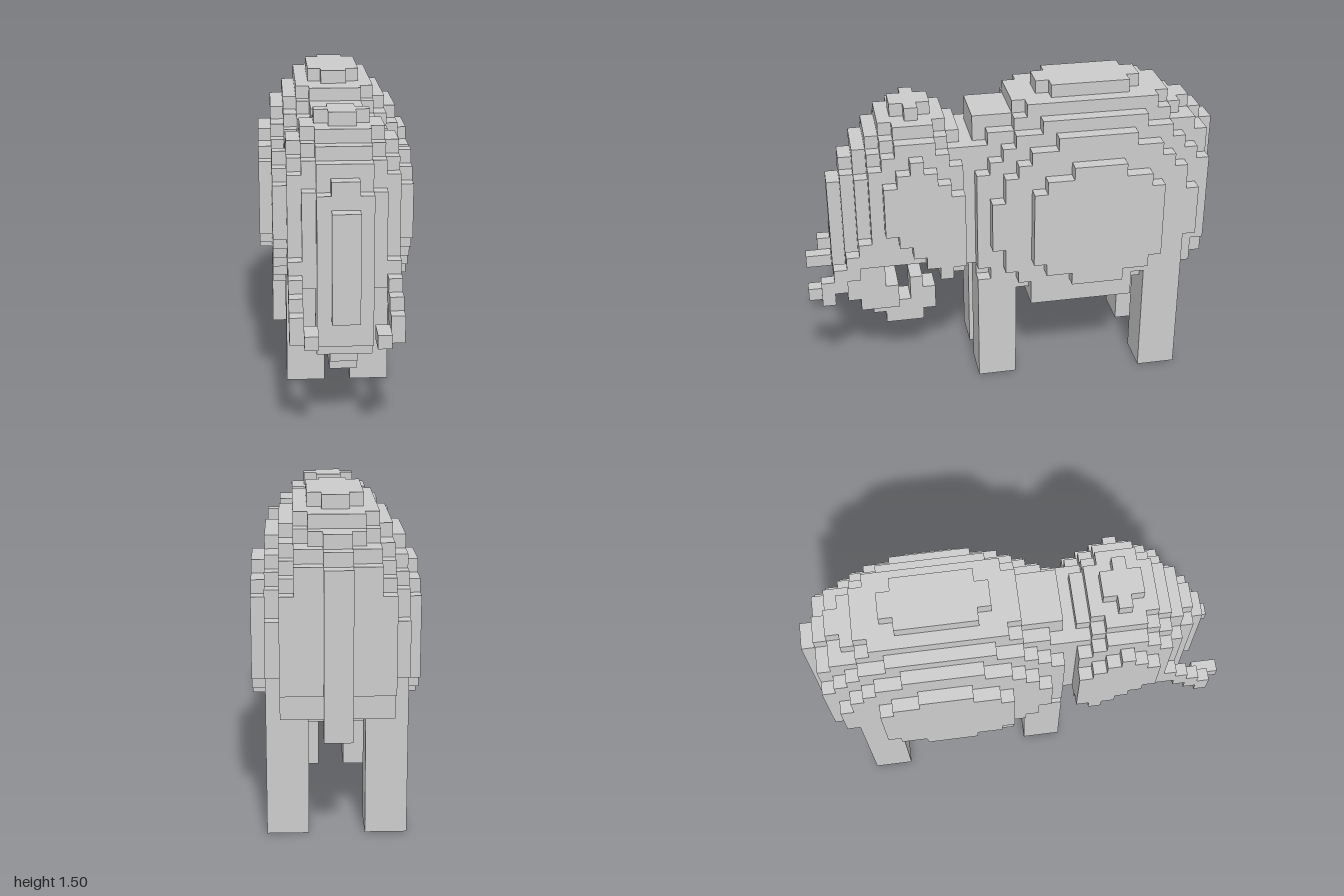
import * as THREE from 'three';

const U = 1 / 16; // edge of one voxel
const mat = new THREE.MeshStandardMaterial({ color: 0xcccccc, flatShading: true });

// Outer faces of all voxels accepted by filled(layer, y, f):
// layer = 0.. outward from the middle plane, y = row up, f = slice back from the front
function voxels(name, filled) {
  const at = (c) => filled(c[0] < 0 ? -1 - c[0] : c[0], c[1], 15 - c[2]);
  const pos = [];
  for (let x = -6; x < 6; x++) for (let y = 0; y < 24; y++) for (let z = -16; z < 16; z++) {
    const cell = [x, y, z];
    if (!at(cell)) continue;
    for (let a = 0; a < 3; a++) for (const s of [1, -1]) {
      const next = [...cell];
      next[a] += s;
      if (at(next)) continue;
      const corner = (u, v) => {
        const p = [...cell];
        p[a] += s > 0 ? 1 : 0;
        p[(a + 1) % 3] += u;
        p[(a + 2) % 3] += v;
        return p.map((n) => n * U);
      };
      const q = [corner(0, 0), corner(1, 0), corner(1, 1), corner(0, 1)];
      if (s < 0) q.reverse();
      for (const i of [0, 1, 2, 0, 2, 3]) pos.push(...q[i]);
    }
  }
  const g = new THREE.BufferGeometry();
  g.setAttribute('position', new THREE.Float32BufferAttribute(pos, 3));
  g.computeVertexNormals();
  const m = new THREE.Mesh(g, mat);
  m.name = name;
  return m;
}

// Box between voxel bounds: x0..x1, y0..y1, slices f0..f1 from the front
function block(name, x0, x1, y0, y1, f0, f1) {
  const g = new THREE.BoxGeometry((x1 - x0) * U, (y1 - y0) * U, (f1 - f0) * U);
  const m = new THREE.Mesh(g, mat);
  m.position.set((x0 + x1) / 2 * U, (y0 + y1) / 2 * U, 1 - (f0 + f1) / 2 * U);
  m.name = name;
  return m;
}

const oval = (p, ...terms) => terms.reduce((t, [d, r]) => t + Math.abs(d / r) ** p, 0) <= 1;

export function createModel() {
  const model = new THREE.Group();

  // Rounded body, cut flat at the rear and underneath, with a shallow belly
  model.add(voxels('body', (l, y, f) => {
    if (y === 7 || y === 8) return oval(4, [l + 0.5, 5.2], [f + 0.5 - 21, y - 2.7]);
    if (f < 13 || f > 30 || y < 9 || (f === 30 && y < 11)) return false;
    return oval(2, [l + 0.5, 6.2], [y + 0.5 - 14, 10.3], [f + 0.5 - 22, 11.5]);
  }));

  // Neck joining head and shoulders
  model.add(block('neck', -3, 3, 10, 20, 11, 13));
  model.add(block('shoulderRidge', -2, 2, 20, 22, 13, 15));

  // Domed head; the outermost layer is the ear with a slanted lower edge
  model.add(voxels('head', (l, y, f) => {
    if (l > 4 || f < l + 2 || f > 11 || y < (f > 9 ? 10 : 11)) return false;
    if (l === 4 && y < 20 - f) return false;
    return oval(1.5, [l + 0.5, 6.75], [y + 0.5 - 14, 9.5], [f - 8, 6.8]);
  }));

  // Trunk hanging down and curling back up: half width, y0, y1, f0, f1
  const trunk = new THREE.Group();
  trunk.name = 'trunk';
  for (const [w, y0, y1, f0, f1] of [
    [1, 9, 17, 2, 3], [2, 8, 12, 3, 6], [2, 7, 8, 3, 7], [2, 6, 7, 4, 7],
    [1, 5, 6, 5, 10], [1, 4, 5, 6, 9], [1, 6, 7, 8, 10], [1, 7, 8, 8, 9], [1, 6, 7, 9, 10],
  ].slice(0, 8)) trunk.add(block('trunkSegment', -w, w, y0, y1, f0, f1));
  trunk.add(block('trunkTip', -1, 1, 5, 7, 9, 10));
  model.add(trunk);

  for (const [side, s] of [['left', 1], ['right', -1]]) {
    const pair = (name, x0, x1, ...rest) =>
      block(name, Math.min(s * x0, s * x1), Math.max(s * x0, s * x1), ...rest);

    // Legs
    model.add(pair(side + 'FrontLeg', 1, 4, 0, 9, 13, 16));
    model.add(pair(side + 'HindLeg', 2, 5, 0, 10, 26, 29));

    // Stepped tusk with an inward tip
    const tusk = new THREE.Group();
    tusk.name = side + 'Tusk';
    tusk.add(pair('tuskTip', 2, 3, 8, 9, 0, 2));
    for (const [y0, y1, f] of [[8, 10, 1], [9, 11, 2], [10, 12, 3], [11, 13, 4]])
      tusk.add(pair('tuskStep', 3, 4, y0, y1, f, f + 1));
    model.add(tusk);
  }

  // Tail
  model.add(block('tail', -1, 1, 8, 20, 31, 32));
  return model;
}
